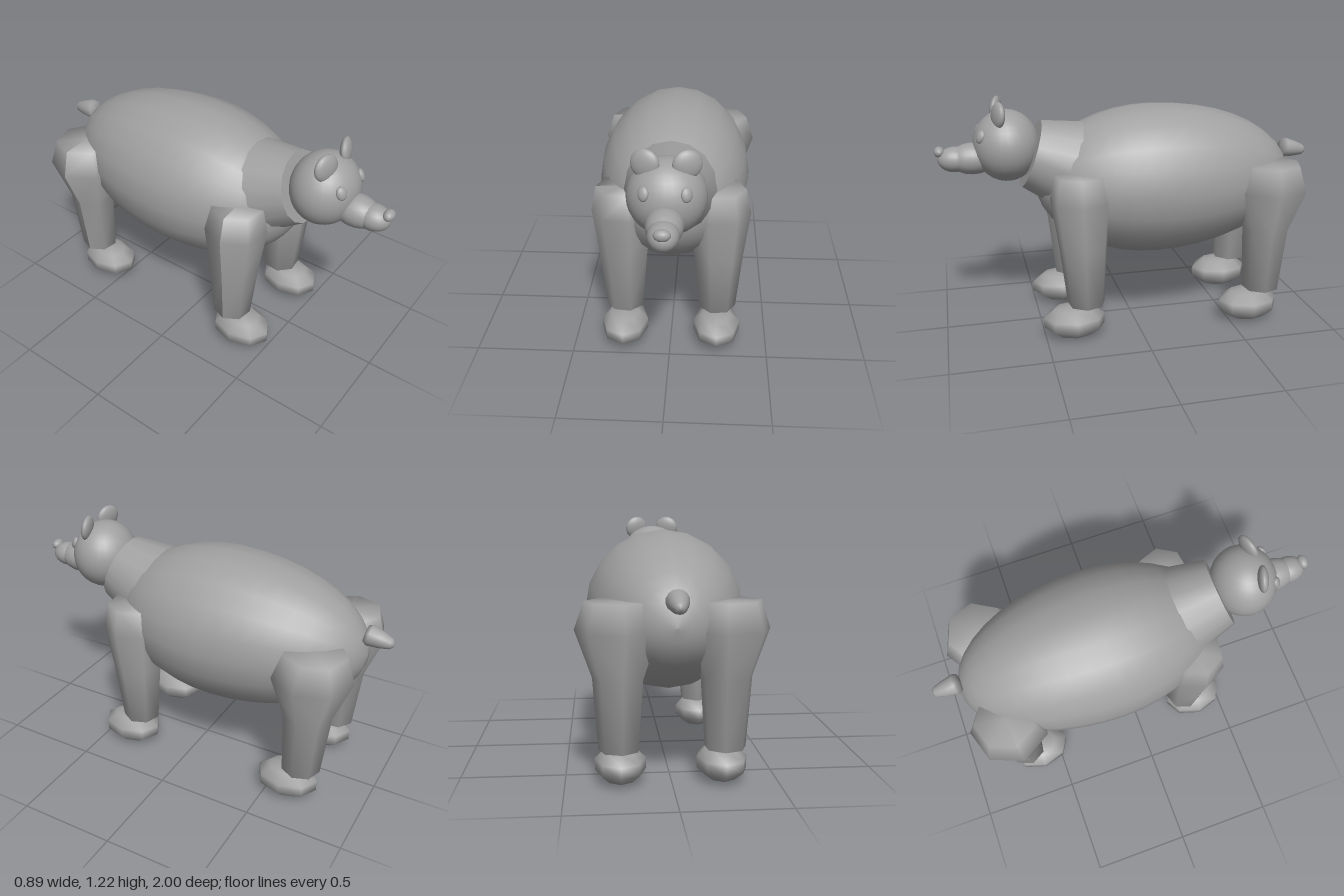
import * as THREE from 'three';

const grey = new THREE.MeshStandardMaterial({ color: 0xa0a0a0 });
grey.name = 'plain grey';

const v2 = ([r, y]) => new THREE.Vector2(r, y);

function add(parent, name, geometry, position = [0, 0, 0], rotation = [0, 0, 0]) {
  const mesh = new THREE.Mesh(geometry, grey);
  mesh.name = name;
  mesh.position.set(...position);
  mesh.rotation.set(...rotation);
  parent.add(mesh);
  return mesh;
}

function ellipsoid(rx, ry, rz, w = 20, h = 14) {
  return new THREE.SphereGeometry(1, w, h).scale(rx, ry, rz);
}

// Seven-sided leg turned from a profile, then sheared along z
function legGeometry(profile, lean) {
  const geo = new THREE.LatheGeometry(profile.map(v2), 7, THREE.MathUtils.degToRad(85));
  const p = geo.attributes.position;
  for (let i = 0; i < p.count; i++) p.setZ(i, p.getZ(i) + lean * (p.getY(i) - 0.18));
  return geo;
}

export function createModel() {
  const bear = new THREE.Group();
  bear.name = 'bear';

  // Body: egg profile, longer at the back than at the front
  const bodyProfile = [];
  for (let i = 0; i <= 20; i++) {
    const a = -Math.PI / 2 + (Math.PI * i) / 20;
    const s = Math.sin(a);
    bodyProfile.push(new THREE.Vector2(Math.max(0, 0.397 * Math.cos(a)), s * (s < 0 ? 0.75 : 0.63)));
  }
  add(bear, 'body', new THREE.LatheGeometry(bodyProfile, 20), [0, 0.77, -0.13], [Math.PI / 2, 0, 0]);

  // Neck: cone rising forwards from the chest to the head
  const back = new THREE.Vector3(0, 0.84, 0.25);
  const front = new THREE.Vector3(0, 0.935, 0.52);
  const axis = front.clone().sub(back);
  const neck = add(bear, 'neck', new THREE.CylinderGeometry(0.18, 0.255, axis.length(), 16),
    back.clone().add(front).multiplyScalar(0.5).toArray());
  neck.quaternion.setFromUnitVectors(new THREE.Vector3(0, 1, 0), axis.normalize());

  // Head, muzzle and nose
  const head = new THREE.Group();
  head.name = 'head';
  bear.add(head);
  add(head, 'skull', ellipsoid(0.183, 0.182, 0.168, 28, 18), [0, 0.985, 0.64]);
  add(head, 'muzzle', ellipsoid(0.085, 0.08, 0.12), [0, 0.925, 0.81]);
  add(head, 'snout', ellipsoid(0.07, 0.064, 0.085), [0, 0.925, 0.9]);
  add(head, 'nose', ellipsoid(0.038, 0.027, 0.027, 14, 10), [0, 0.967, 0.973]);

  for (const side of [1, -1]) {
    const label = side > 0 ? 'left' : 'right';
    add(head, label + 'Eye', ellipsoid(0.027, 0.034, 0.017, 16, 10),
      [side * 0.093, 1.053, 0.77], [-0.4, side * 0.5, 0]);
    add(head, label + 'Ear', ellipsoid(0.068, 0.066, 0.027),
      [side * 0.092, 1.155, 0.68], [-0.12, side * 0.3, 0]);

    // Legs are faceted columns standing on flattened paws
    add(bear, label + 'FrontLeg', legGeometry(
      [[0, 0.18], [0.098, 0.18], [0.128, 0.5], [0.158, 0.74], [0.13, 0.87], [0, 0.87]], 0.03),
      [side * 0.24, 0, 0.285]).scale.x = 1;
    add(bear, label + 'RearLeg', legGeometry(
      [[0, 0.18], [0.098, 0.18], [0.122, 0.52], [0.2, 0.74], [0.155, 0.87], [0, 0.87]], -0.04),
      [side * 0.245, 0, -0.675]);
    for (const [name, z] of [['FrontPaw', 0.35], ['RearPaw', -0.605]]) {
      add(bear, label + name, ellipsoid(0.126, 0.088, 0.168, 8, 5), [side * 0.24, 0.09, z]);
    }
  }

  // Mirror the facets of the right legs
  for (const name of ['rightFrontLeg', 'rightRearLeg']) {
    const leg = bear.getObjectByName(name);
    const index = leg.geometry.index.array;
    leg.geometry.scale(-1, 1, 1);
    for (let i = 0; i < index.length; i += 3) [index[i], index[i + 1]] = [index[i + 1], index[i]];
    leg.geometry.computeVertexNormals();
  }

  // Short tail, rounded at the tip
  add(bear, 'tail', new THREE.LatheGeometry(
    [[0, 0], [0.045, 0.005], [0.053, 0.025], [0.043, 0.08], [0.028, 0.13], [0.015, 0.144], [0, 0.147]].map(v2), 14),
    [0, 0.893, -0.855], [-Math.PI / 2 - 0.17, 0, 0]);

  return bear;
}
